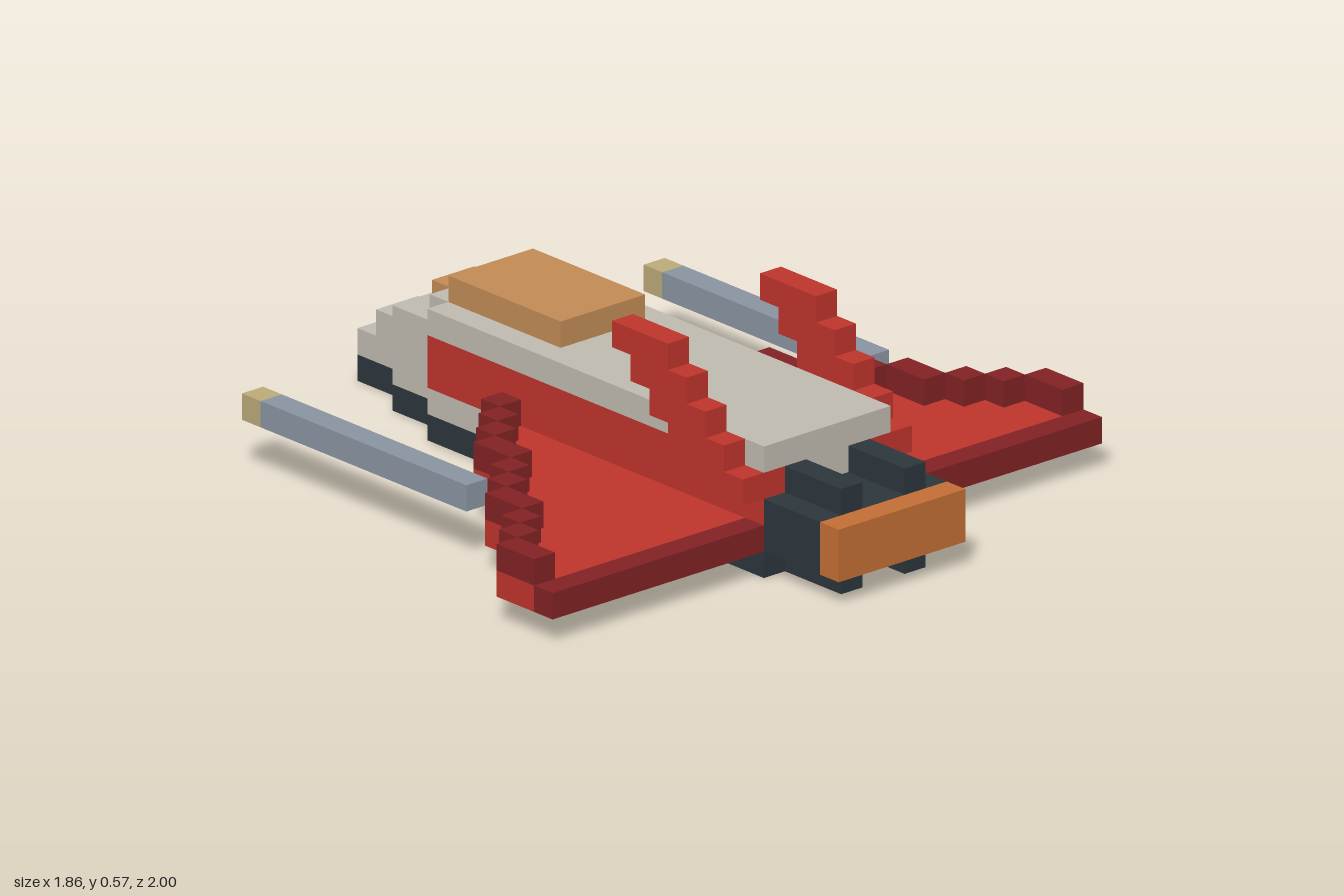
import * as THREE from 'three';

const U = 1 / 14; // size of one block

const paint = (name, color) => {
  const m = new THREE.MeshStandardMaterial({ color });
  m.name = name;
  return m;
};

export function createModel() {
  const model = new THREE.Group();
  model.name = 'blockSpaceship';

  const grey = paint('hullGrey', 0xc0bbb0);
  const red = paint('red', 0xbf342b);
  const darkRed = paint('darkRed', 0x822224);
  const dark = paint('darkSlate', 0x2d363c);
  const steel = paint('steelBlue', 0x8a95a3);
  const tan = paint('tan', 0xbcab7a);
  const amber = paint('canopyAmber', 0xc38c56);
  const orange = paint('exhaustOrange', 0xc46f35);

  // Box from block ranges
  const box = (name, mat, x0, x1, y0, y1, z0, z1) => {
    const geo = new THREE.BoxGeometry(Math.abs(x1 - x0) * U, (y1 - y0) * U, (z1 - z0) * U);
    const mesh = new THREE.Mesh(geo, mat);
    mesh.position.set((x0 + x1) / 2, (y0 + y1) / 2, (z0 + z1) / 2).multiplyScalar(U);
    mesh.name = name;
    model.add(mesh);
  };
  const centred = (name, mat, half, ...range) => box(name, mat, -half, half, ...range);

  // Keel, following the hull outline
  centred('keel', dark, 3, 0, 1, -8, 10);
  centred('noseKeel', dark, 2, 0, 1, -11, -8);
  centred('noseTipKeel', dark, 1, 0, 1, -14, -11);

  // Hull
  centred('lowerHull', grey, 3, 1, 2, -8, 10);
  centred('hullCore', grey, 2, 2, 4, -8, 10);
  centred('upperHull', grey, 3, 4, 5, -8, 10);

  // Stepped nose
  centred('nose', grey, 2, 1, 4, -11, -8);
  centred('noseTop', grey, 2, 4, 5, -9, -8);
  centred('noseStep', grey, 1, 1, 3, -13, -11);
  centred('noseTip', grey, 1, 1, 2, -14, -13);

  // Canopy
  centred('canopy', amber, 2, 5, 6, -8, -2);
  centred('windscreen', amber, 1, 4, 5, -10, -9);

  // Engines
  centred('engineBlock', dark, 3, 1, 3, 10, 13);
  centred('exhaust', orange, 3, 1, 3, 13, 14);

  // Leading edge: first z of each wing column, from x = 3 outwards
  const edge = [-4, -3, -2, -1, 1, 2, 3, 5, 6, 7];

  for (const s of [1, -1]) {
    const side = s > 0 ? 'left' : 'right';
    const pair = (name, mat, x0, x1, ...range) => box(side + name, mat, s * x0, s * x1, ...range);

    pair('HullStripe', red, 2, 3, 2, 4, -8, 10);
    pair('EngineFinTop', dark, 1, 2, 3, 4, 10, 13);
    pair('EngineFinBottom', dark, 1, 2, 0, 1, 10, 13);

    // Wing plate with a stepped leading edge
    const pts = [new THREE.Vector2(s * 3 * U, 9 * U)];
    edge.forEach((z, i) => {
      pts.push(new THREE.Vector2(s * (3 + i) * U, z * U), new THREE.Vector2(s * (4 + i) * U, z * U));
    });
    pts.push(new THREE.Vector2(s * 13 * U, 9 * U));
    const plate = new THREE.ExtrudeGeometry(new THREE.Shape(pts), { depth: U, bevelEnabled: false });
    plate.rotateX(Math.PI / 2).translate(0, 2 * U, 0);
    const wing = new THREE.Mesh(plate, red);
    wing.name = side + 'Wing';
    model.add(wing);

    // Raised leading rim and flat trailing rim
    edge.forEach((z, i) => pair('WingRim', darkRed, 3 + i, 4 + i, 2, 3, z, edge[i + 1] ?? 9));
    pair('TrailingRim', darkRed, 3, 13, 1, 2, 9, 10);

    // Tail fin, sweeping forward as it rises
    for (let i = 0; i < 5; i++) pair('TailFin', red, 3, 4, 3 + i, 4 + i, 7 - i, 10 - i);

    // Wing cannon
    pair('Cannon', steel, 9, 10, 2, 3, -9, 2);
    pair('CannonTip', tan, 9, 10, 2, 3, -10, -9);
  }
  // Windscreen base between the nose blocks
  centred('windscreenBase', amber, 1, 5, 5.1, -9, -8);
  return model;
}
